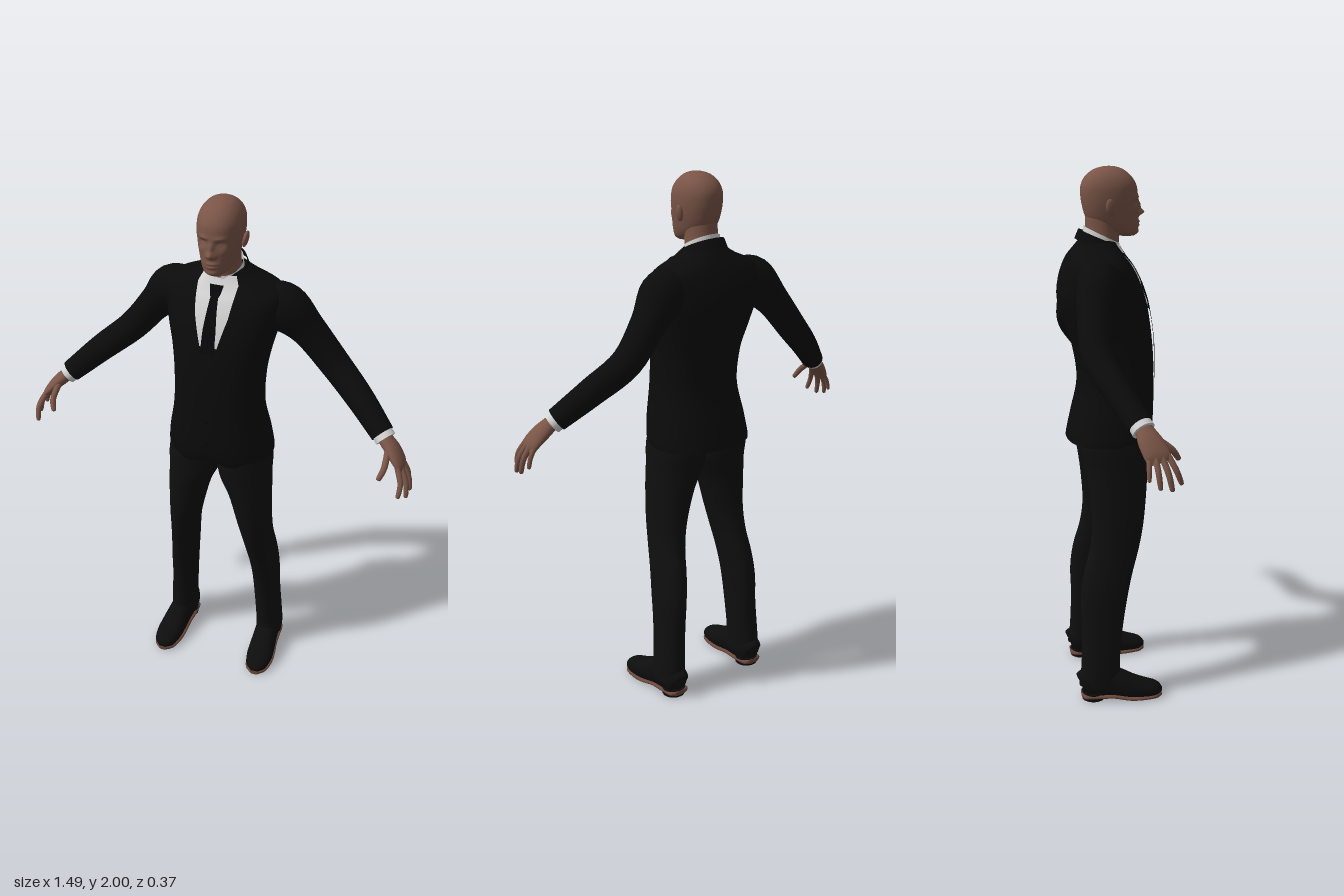
import * as THREE from 'three';

const V = (x, y, z) => new THREE.Vector3(x, y, z);
const mat = (name, color) => new THREE.MeshStandardMaterial({ name, color, side: THREE.DoubleSide });

// Centre and radius curves through rows of [x, y, z, a, b]
function curves(rows) {
  const make = pts => new THREE.CatmullRomCurve3(pts, false, 'catmullrom', 0.5);
  return [make(rows.map(r => V(r[0], r[1], r[2]))), make(rows.map(r => V(r[3], r[4], 0)))];
}

// Skin over superelliptic sections; level sections, or square to the path when ref is given
function loft(rows, { seg = 28, sub = 5, n = 2, ref = null, deform = null } = {}) {
  const [path, radii] = curves(rows), steps = (rows.length - 1) * sub;
  const pos = [], idx = [];
  const bend = c => Math.sign(c) * Math.abs(c) ** (2 / n);
  for (let i = 0; i <= steps; i++) {
    const c = path.getPoint(i / steps), r = radii.getPoint(i / steps);
    let u = V(1, 0, 0), v = V(0, 0, 1);
    if (ref) {
      const t = path.getTangent(i / steps);
      u = t.clone().cross(ref).normalize();
      v = u.clone().cross(t);
    }
    for (let j = 0; j < seg; j++) {
      const a = j / seg * Math.PI * 2;
      const p = c.clone().addScaledVector(u, bend(Math.cos(a)) * r.x).addScaledVector(v, bend(Math.sin(a)) * r.y);
      if (deform) deform(p);
      pos.push(p.x, p.y, p.z);
      if (i < steps) {
        const A = i * seg + j, B = i * seg + (j + 1) % seg;
        idx.push(A, A + seg, B, B, A + seg, B + seg);
      }
    }
  }
  // end caps with their own rim for a crisp edge
  for (const row of [0, steps]) {
    const rim = pos.slice(row * seg * 3, (row + 1) * seg * 3), start = pos.length / 3, mid = [0, 0, 0];
    rim.forEach((q, k) => { mid[k % 3] += q / seg; });
    pos.push(...rim, ...mid);
    for (let j = 0; j < seg; j++) {
      const A = start + j, B = start + (j + 1) % seg;
      idx.push(...(row ? [A, start + seg, B] : [A, B, start + seg]));
    }
  }
  return build(pos, idx);
}

function build(pos, idx) {
  const g = new THREE.BufferGeometry();
  g.setAttribute('position', new THREE.Float32BufferAttribute(pos, 3));
  g.setIndex(idx);
  g.computeVertexNormals();
  return g;
}

// [y, half width, front z, back z] to a loft row
const level = (x, list) => list.map(([y, w, f, b]) => [x, y, (f + b) / 2, w, (f - b) / 2]);

const TORSO = level(0, [
  [1.0, .197, .155, -.155], [1.03, .197, .164, -.15], [1.1, .188, .171, -.135], [1.22, .166, .172, -.112],
  [1.35, .166, .167, -.13], [1.45, .18, .155, -.165], [1.53, .2, .138, -.184], [1.6, .213, .112, -.177],
  [1.65, .218, .085, -.16], [1.68, .19, .062, -.145], [1.71, .12, .044, -.125], [1.74, .07, .03, -.103]]);
const TORSO_N = 2.35;
const [torsoPath, torsoRadii] = curves(TORSO);

// Height of the chest surface at x, y
function chestZ(x, y) {
  let lo = 0, hi = 1;
  for (let k = 0; k < 24; k++) {
    const m = (lo + hi) / 2;
    if (torsoPath.getPoint(m).y < y) lo = m; else hi = m;
  }
  const c = torsoPath.getPoint(lo), r = torsoRadii.getPoint(lo);
  return c.z + r.y * Math.max(0, 1 - Math.abs(x / r.x) ** TORSO_N) ** (1 / TORSO_N);
}

// Thin cloth lying on the chest; rows of [y, x from, x to]
function chestPatch(rows, lift) {
  const pos = [], idx = [], N = 30, M = 10;
  for (let i = 0; i <= N; i++) {
    const y = THREE.MathUtils.lerp(rows[0][0], rows[rows.length - 1][0], i / N);
    let k = 0;
    while (k < rows.length - 2 && y > rows[k + 1][0]) k++;
    const [p, q] = [rows[k], rows[k + 1]], t = (y - p[0]) / (q[0] - p[0]);
    const x0 = p[1] + (q[1] - p[1]) * t, x1 = p[2] + (q[2] - p[2]) * t;
    for (let j = 0; j <= M; j++) {
      const x = x0 + (x1 - x0) * j / M;
      pos.push(x, y, chestZ(x, y) + lift);
      if (i < N && j < M) {
        const a = i * (M + 1) + j, b = a + M + 1;
        idx.push(a, a + 1, b, a + 1, b + 1, b);
      }
    }
  }
  return build(pos, idx);
}

// Face relief: [x, y, spread x, spread y, depth], paired when x is not zero
const FACE = [
  [0, 1.836, .012, .011, .021], [0, 1.86, .009, .02, .011], [.03, 1.893, .02, .007, .005],
  [.031, 1.874, .014, .01, -.01], [.031, 1.872, .009, .005, .005], [.013, 1.832, .006, .006, .007],
  [0, 1.803, .02, .0045, .006], [0, 1.79, .017, .005, .006], [0, 1.766, .02, .01, .005], [.045, 1.845, .014, .012, .004]];
function shapeFace(p) {
  if (p.z < .03) return;
  const { x, y } = p, fade = Math.min(1, (p.z - .03) / .04);
  for (const [bx, by, sx, sy, d] of FACE)
    for (const s of bx ? [-1, 1] : [1])
      p.z += fade * d * Math.exp(-(((x - s * bx) / sx) ** 2) - ((y - by) / sy) ** 2);
}

// Open tilted band around the neck
function neckBand(r0, r1, h, y, z, gap, tilt) {
  const g = new THREE.CylinderGeometry(r1, r0, h, 40, 3, true, gap, Math.PI * 2 - gap * 2);
  const p = g.attributes.position;
  for (let i = 0; i < p.count; i++) p.setY(i, p.getY(i) - p.getZ(i) * tilt);
  g.computeVertexNormals();
  return g.translate(0, y, z);
}

export function createModel() {
  const group = new THREE.Group();
  const skin = mat('skin', 0x7a5547), suit = mat('suit', 0x0b0b0c), cloth = mat('trousers', 0x0f0f10);
  const white = mat('shirt', 0xd4d4d4), black = mat('tieBlack', 0x08080a), leather = mat('shoeLeather', 0x0d0d0d);
  const soleBrown = mat('sole', 0x6b483c);
  const add = (name, g, m) => {
    const mesh = new THREE.Mesh(g, m);
    mesh.name = name;
    group.add(mesh);
    return mesh;
  };

  // Head and neck
  add('head', loft(level(0, [
    [1.753, .026, .1, .045], [1.765, .044, .111, .0], [1.79, .058, .115, -.05], [1.82, .067, .115, -.077],
    [1.86, .076, .113, -.09], [1.9, .08, .112, -.096], [1.935, .078, .106, -.094], [1.965, .066, .087, -.078],
    [1.987, .045, .06, -.05], [1.997, .022, .034, -.02], [2, .002, .01, .004]]),
    { seg: 96, sub: 9, n: 2.15, deform: shapeFace }), skin);
  add('neck', loft(level(0, [[1.66, .064, .042, -.085], [1.74, .06, .044, -.082], [1.78, .058, .05, -.08], [1.83, .058, .06, -.08]])), skin);

  // Jacket body with a cutaway front hem
  add('jacket', loft(TORSO, {
    seg: 72, n: TORSO_N,
    deform: p => { if (p.y < 1.06 && p.z > 0) p.y += .03 * (1.06 - p.y) / .06 * Math.exp(-((p.x / .045) ** 2)); }
  }), suit);
  add('jacketCollar', neckBand(.088, .074, .04, 1.728, -.03, .95, .42), suit);

  // Shirt front, collar and tie
  add('shirtFront', chestPatch([[1.5, -.032, .032], [1.62, -.066, .066], [1.7, -.074, .074], [1.728, -.06, .06]], .004), white);
  add('shirtCollar', neckBand(.07, .065, .04, 1.738, -.02, .16, .48), white);
  add('tie', chestPatch([[1.48, -.026, .026], [1.56, -.024, .024], [1.664, -.014, .014], [1.668, -.018, .018], [1.7, -.025, .025]], .009), black);
  for (const y of [1.11, 1.2])
    add('button', new THREE.CylinderGeometry(.007, .007, .006, 14).rotateX(Math.PI / 2).translate(0, y, chestZ(0, y) + .003), black);

  for (const s of [1, -1]) {
    const side = s > 0 ? 'left' : 'right';
    const limb = (rows, opt) => loft(rows.map(([x, ...r]) => [x * s, ...r]), { ref: V(0, 0, 1), ...opt });
    const span = (y, a, b) => s > 0 ? [y, a, b] : [y, -b, -a];

    add(side + 'Ear', new THREE.SphereGeometry(1, 16, 12).scale(.01, .03, .017).rotateZ(-s * .2).rotateX(-.15)
      .translate(s * .083, 1.86, .002), skin);
    add(side + 'Lapel', chestPatch([span(1.22, .002, .008), span(1.5, .032, .085), span(1.585, .055, .125),
      span(1.6, .06, .1), span(1.7, .074, .1)], .008), suit);
    add(side + 'CollarPoint', chestPatch([span(1.655, .046, .05), span(1.7, .02, .066), span(1.72, .012, .062)], .008), white);

    // Arm
    add(side + 'Sleeve', limb([[.14, 1.61, -.045, .075, .075], [.21, 1.59, -.06, .09, .08], [.29, 1.51, -.083, .064, .064],
      [.39, 1.39, -.09, .056, .056], [.505, 1.295, -.04, .051, .05], [.612, 1.202, .02, .042, .045]], { seg: 32 }), suit);
    add(side + 'Cuff', limb([[.59, 1.222, .008, .036, .039], [.627, 1.189, .029, .038, .041]]), white);

    // Hand
    add(side + 'Palm', limb([[.6, 1.213, .015, .024, .029], [.63, 1.187, .032, .025, .033], [.66, 1.16, .045, .024, .042],
      [.69, 1.125, .062, .018, .045], [.703, 1.1, .07, .01, .038]]), skin);
    const digits = [
      ['Thumb', [.645, 1.17, .062], [.648, 1.128, .118], [.635, 1.088, .147], .012],
      ['IndexFinger', [.69, 1.125, .096], [.711, 1.075, .122], [.71, 1.025, .142], .0105],
      ['MiddleFinger', [.696, 1.122, .076], [.725, 1.068, .094], [.733, 1.01, .107], .011],
      ['RingFinger', [.697, 1.122, .055], [.728, 1.07, .061], [.738, 1.018, .067], .0105],
      ['LittleFinger', [.69, 1.126, .034], [.716, 1.083, .032], [.727, 1.043, .031], .009]];
    for (const [name, base, mid, tip, r] of digits) {
      const near = tip.map((q, k) => q + (mid[k] - q) * .13);
      add(side + name, limb([[...base, r, r], [...mid, r * .95, r * .95], [...near, r * .75, r * .75], [...tip, r * .15, r * .15]],
        { seg: 12 }), skin);
    }

    // Trouser leg: [y, inner x, outer x, front z, back z]
    add(side + 'TrouserLeg', loft([
      [.06, .142, .242, .03, -.135], [.14, .14, .24, .022, -.126], [.28, .133, .23, .034, -.122], [.4, .126, .225, .052, -.125],
      [.5, .115, .216, .073, -.113], [.6, .1, .206, .1, -.087], [.7, .078, .203, .119, -.077], [.83, .043, .201, .132, -.088],
      [.92, .002, .199, .138, -.102], [1, -.005, .197, .14, -.115], [1.1, -.005, .17, .13, -.1]]
      .map(([y, a, b, f, k]) => [s * (a + b) / 2, y, (f + k) / 2, (b - a) / 2, (f - k) / 2]), { seg: 36, n: 2.15 }), cloth);

    // Shoe, running heel to toe
    const shoe = [[.19, .06, -.126, .026, .04], [.19, .065, -.11, .043, .055], [.191, .066, -.05, .047, .066],
      [.194, .06, 0, .048, .06], [.199, .044, .06, .052, .046], [.202, .034, .11, .052, .036],
      [.204, .028, .16, .04, .026], [.205, .022, .184, .015, .01]];
    add(side + 'Shoe', limb(shoe, { ref: V(0, 1, 0), n: 2.2, deform: p => { p.y = Math.max(p.y, .012); } }), leather);
    add(side + 'Sole', limb(shoe.map(([x, , z, a]) => [x, z < .02 ? .018 : .009, z, a * 1.04, .009]),
      { ref: V(0, 1, 0), n: 3 }), soleBrown);
    add(side + 'Heel', new THREE.CylinderGeometry(.045, .044, .03, 28).translate(s * .19, .015, -.08), leather);
  }
  return group;
}
